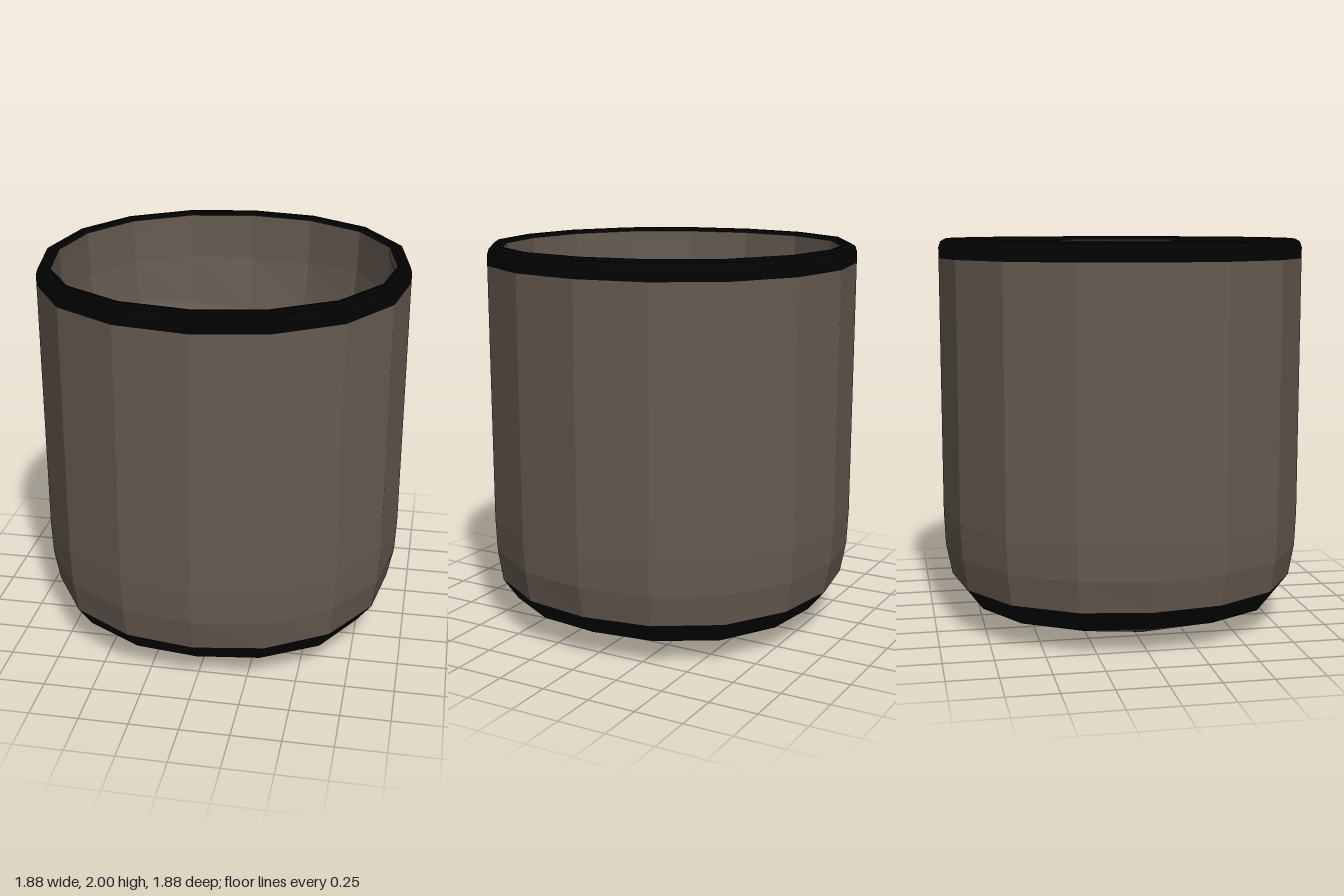
import * as THREE from 'three';

const SIDES = 16;

// A ring is [radius, height, bulge, lift, skew]: bulge pushes the diagonals outward,
// lift raises them and skew draws the in-between points towards them.
function placeOnRing(position, index, [r, y, bulge = 0.022, lift = 0, skew = 0], angle) {
  const s = Math.sin(2 * angle) ** 2;
  const radius = r * (1 + bulge * s);
  const a = angle + skew * Math.sin(4 * angle);
  position.setXYZ(index, radius * Math.sin(a), y + lift * s, radius * Math.cos(a));
}

// Separate the triangles so every facet is flat
function facetedMesh(name, geo, material) {
  const flat = geo.toNonIndexed();
  flat.computeVertexNormals();
  const mesh = new THREE.Mesh(flat, material);
  mesh.name = name;
  return mesh;
}

// Wall through a list of rings; rising lists face outward, falling ones inward
function wall(name, rings, material) {
  const n = rings.length;
  const geo = new THREE.LatheGeometry(rings.map(([r, y]) => new THREE.Vector2(r, y)), SIDES);
  const p = geo.attributes.position;
  for (let i = 0; i < p.count; i++) {
    placeOnRing(p, i, rings[i % n], Math.floor(i / n) * 2 * Math.PI / SIDES);
  }
  return facetedMesh(name, geo, material);
}

// Dome made of a 4 x 4 grid wrapped onto rings [centre, middle, edge]
function dome(name, rings, facesUp, material) {
  const geo = new THREE.PlaneGeometry(4, 4, 4, 4).rotateX(facesUp ? -Math.PI / 2 : Math.PI / 2);
  const p = geo.attributes.position;
  for (let i = 0; i < p.count; i++) {
    const x = Math.round(p.getX(i)), z = Math.round(p.getZ(i));
    const m = Math.max(Math.abs(x), Math.abs(z));
    // Spread the points of each square evenly around its circle
    const a = m === 0 ? 0 : Math.atan2(
      Math.tan((x / m) * Math.PI / 8) , Math.tan((z / m) * Math.PI / 8));
    placeOnRing(p, i, rings[m], Math.round(a / (Math.PI / 8)) * Math.PI / 8);
  }
  return facetedMesh(name, geo, material);
}

export function createModel() {
  const clay = new THREE.MeshStandardMaterial({ color: 0x665b51 });
  clay.name = 'brown clay';
  const black = new THREE.MeshStandardMaterial({ color: 0x030303 });
  black.name = 'black trim';

  // Rings shared by neighbouring parts
  const baseEdge = [0.63, 0.06, 0.12, 0.025, 0.05];
  const bandBottom = [0.81, 0.13, 0.05];
  const bandTop = [0.9, 0.24, 0.03];
  const rimBottom = [0.94, 1.9];
  const rimInside = [0.868, 1.98];
  const floorEdge = [0.53, 0.875, 0.15, 0.107, 0.06];

  const group = new THREE.Group();
  group.name = 'cup';

  group.add(
    // Outside, from the base up
    dome('base', [[0, 0], [0.35, 0.018, 0.25, 0.015], baseEdge], false, clay),
    wall('baseEdge', [baseEdge, bandBottom], clay),
    wall('baseBand', [bandBottom, bandTop], black),
    wall('outerWall', [bandTop, [0.932, 0.4], [0.94, 0.58], rimBottom], clay),
    // Rounded lip
    wall('rim', [rimBottom, [0.94, 1.955], [0.93, 1.985], [0.905, 2],
      [0.885, 1.998], rimInside], black),
    // Rounded bowl inside, from the lip down
    wall('innerWall', [rimInside, [0.867, 1.93], [0.86, 1.73, 0.022, 0.02],
      [0.81, 1.445, 0.05, 0.07], [0.69, 1.12, 0.09, 0.13, 0.03], floorEdge], clay),
    dome('innerFloor', [[0, 0.6], [0.28, 0.67, 0.33, 0.06], floorEdge], true, clay)
  );
  return group;
}
